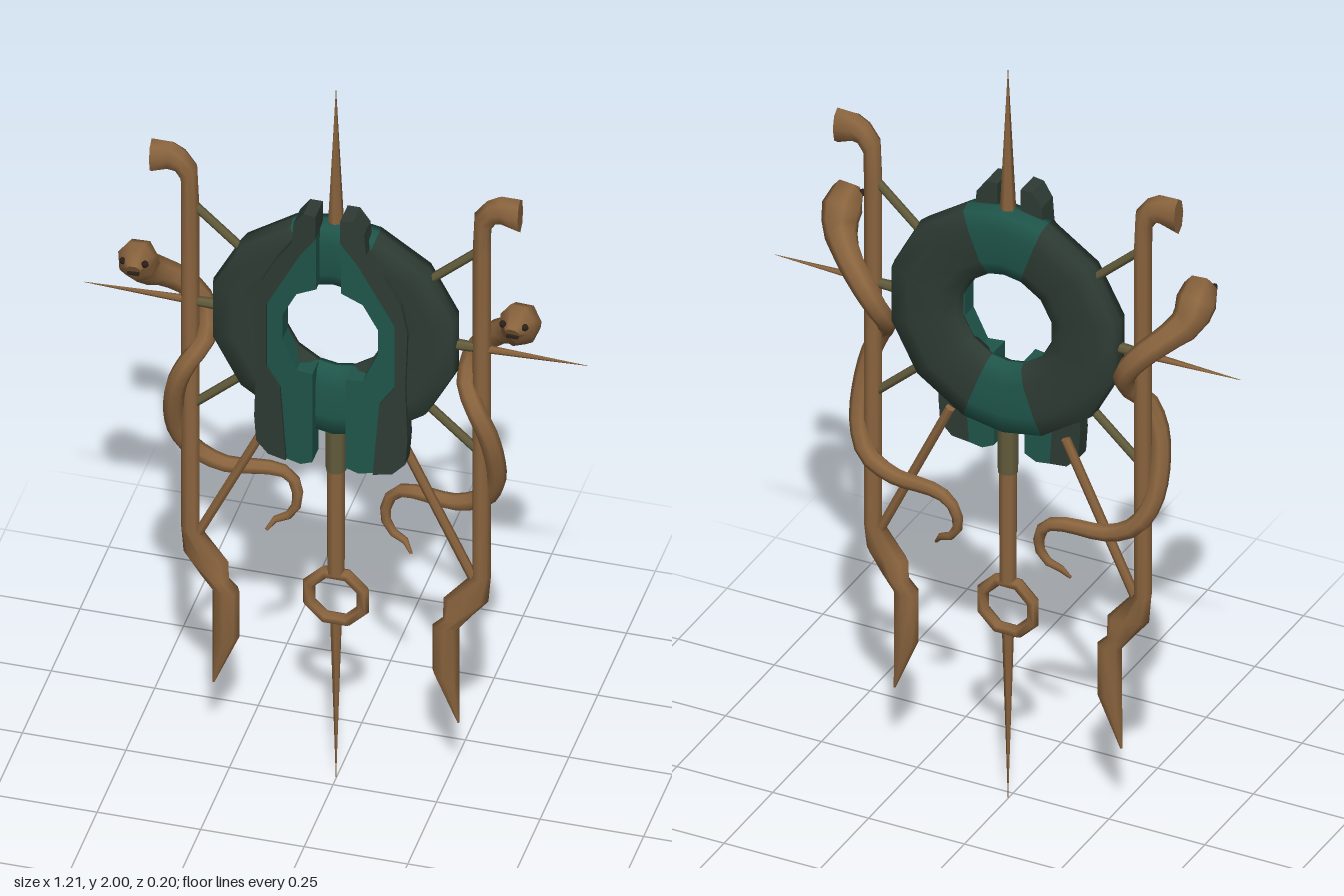
import * as THREE from 'three';

const Z = -0.026; // middle plane of the frame
const CY = 1.32; // centre height of the ring
const V = (x, y, z = Z) => new THREE.Vector3(x, y, z);

// Skin a list of cross-section rings and cap both ends
function loft(rings) {
  const n = rings[0].length, pos = [], idx = [];
  rings.forEach(r => r.forEach(p => pos.push(p.x, p.y, p.z)));
  for (let i = 0; i < rings.length - 1; i++) {
    for (let j = 0; j < n; j++) {
      const a = i * n + j, b = i * n + (j + 1) % n;
      idx.push(a, b, b + n, a, b + n, a + n);
    }
  }
  [rings[0], rings[rings.length - 1]].forEach((r, end) => {
    const base = pos.length / 3;
    r.forEach(p => pos.push(p.x, p.y, p.z));
    for (let j = 1; j < n - 1; j++) {
      idx.push(base, base + (end ? j : j + 1), base + (end ? j + 1 : j));
    }
  });
  const g = new THREE.BufferGeometry();
  g.setAttribute('position', new THREE.Float32BufferAttribute(pos, 3));
  g.setIndex(idx);
  g.computeVertexNormals();
  return g;
}

// Ring of points round a centre, spanned by two half axes
function section(c, u, v, n) {
  return Array.from({ length: n }, (_, j) => {
    const t = (j / n) * Math.PI * 2;
    return c.clone().addScaledVector(u, Math.cos(t)).addScaledVector(v, Math.sin(t));
  });
}

// Straight tapered rod between two points
function rod(a, b, r0, r1, sides = 6) {
  const d = b.clone().sub(a);
  const g = new THREE.CylinderGeometry(r1, r0, d.length(), sides);
  g.applyQuaternion(new THREE.Quaternion().setFromUnitVectors(V(0, 1, 0), d.normalize()));
  const m = a.clone().add(b).multiplyScalar(0.5);
  return g.translate(m.x, m.y, m.z);
}

// Mirror across x and restore the face order
function mirrored(geo) {
  const g = geo.index ? geo.toNonIndexed() : geo.clone();
  g.scale(-1, 1, 1);
  for (const name of ['position', 'normal']) {
    const a = g.attributes[name].array;
    for (let i = 0; i < a.length; i += 9) {
      for (let k = 0; k < 3; k++) [a[i + 3 + k], a[i + 6 + k]] = [a[i + 6 + k], a[i + 3 + k]];
    }
  }
  return g;
}

// Sloped plate, thickest towards the middle of the model
function plate(outline, lower) {
  const s = new THREE.Shape(outline.map(p => new THREE.Vector2(p[0], p[1])));
  const g = new THREE.ExtrudeGeometry(s, { depth: 1, bevelEnabled: false });
  const p = g.attributes.position;
  for (let i = 0; i < p.count; i++) {
    p.setZ(i, p.getZ(i) > 0.5 ? 0.046 - lower - 0.17 * (p.getX(i) - 0.03) : -0.02);
  }
  g.computeVertexNormals();
  return g;
}

export function createModel() {
  const group = new THREE.Group();
  const mat = (name, color) => Object.assign(new THREE.MeshStandardMaterial({ color }), { name });
  const bronze = mat('bronze', 0x8a643e);
  const olive = mat('olive', 0x635c3c);
  const dark = mat('darkGreen', 0x2d3b33);
  const teal = mat('teal', 0x1f554a);
  const black = mat('eyeDark', 0x2a2018);

  const add = (name, geo, m) => {
    const mesh = new THREE.Mesh(geo, m);
    mesh.name = name;
    group.add(mesh);
  };
  const pair = (name, geo, m) => {
    add(name + 'Left', geo, m);
    add(name + 'Right', mirrored(geo), m);
  };

  // Thick ring: dark sides, teal top and bottom
  const profile = [[0.12, 0], [0.128, -0.02], [0.165, -0.034], [0.25, -0.037], [0.298, -0.03], [0.305, 0],
    [0.298, 0.03], [0.25, 0.037], [0.165, 0.034], [0.128, 0.02], [0.12, 0]].map(p => new THREE.Vector2(...p));
  const arc = (from, to, segs) => new THREE.LatheGeometry(profile, segs,
    THREE.MathUtils.degToRad(from), THREE.MathUtils.degToRad(to - from))
    .rotateX(Math.PI / 2).translate(0, CY, Z);
  add('ringBottom', arc(-20, 20, 2), teal);
  add('ringTop', arc(160, 200, 2), teal);
  add('ringSideLeft', arc(20, 160, 5), dark);
  add('ringSideRight', arc(200, 340, 5), dark);

  // Crescent plates on the ring: dark outside, teal inside
  const seam = [[0.105, 0.945], [0.12, 1.15], [0.155, 1.2], [0.155, 1.38], [0.11, 1.47], [0.07, 1.55], [0.03, 1.61]];
  const outer = [[0.03, 1.675], [0.06, 1.675], [0.085, 1.64], [0.09, 1.58], [0.13, 1.52], [0.17, 1.44],
    [0.185, 1.36], [0.18, 1.2], [0.185, 1.05], [0.18, 0.98], [0.15, 0.95]];
  const inner = [[0.03, 1.46], [0.08, 1.43], [0.115, 1.36], [0.115, 1.29], [0.08, 1.21], [0.04, 1.21],
    [0.04, 0.955], [0.07, 0.94]];
  pair('crescentOuter', plate([...seam, ...outer].reverse(), 0), dark);
  pair('crescentInner', plate([...seam, ...inner], 0.008), teal);

  // Side rails with hooked top and blade foot: inner x, y, outer x, y, half depth
  const rail = [
    [0.445, 1.77, 0.445, 1.675, 0.024], [0.395, 1.768, 0.405, 1.69, 0.024], [0.365, 1.75, 0.387, 1.69, 0.024],
    [0.335, 1.71, 0.375, 1.67, 0.023], [0.33, 1.6, 0.374, 1.6, 0.023], [0.33, 0.66, 0.374, 0.66, 0.023],
    [0.26, 0.577, 0.368, 0.587, 0.024], [0.258, 0.52, 0.33, 0.54, 0.025], [0.233, 0.495, 0.298, 0.497, 0.026],
    [0.233, 0.365, 0.298, 0.345, 0.024], [0.293, 0.222, 0.298, 0.222, 0.003],
  ].map(([ix, iy, ox, oy, d]) => section(V((ix + ox) / 2, (iy + oy) / 2),
    V((ox - ix) / 2, (oy - iy) / 2, 0), V(0, 0, d), 8));
  pair('rail', loft(rail), bronze);

  // Thin struts tying the rails to the ring
  pair('upperStrut', rod(V(0.2, 1.47), V(0.35, 1.605), 0.011, 0.011), olive);
  pair('middleStrut', rod(V(0.2, 1.15), V(0.35, 1.015), 0.011, 0.011), olive);
  pair('lowerStrut', rod(V(0.15, 1.03), V(0.345, 0.62), 0.012, 0.012), bronze);
  pair('sideStub', rod(V(0.28, CY), V(0.36, CY), 0.014, 0.011), olive);
  pair('sideSpike', rod(V(0.34, CY), V(0.607, CY), 0.011, 0.0005), bronze);

  // Central spikes, post and eyelet
  add('topSpike', rod(V(0, 1.58), V(0, 2), 0.021, 0.0005), bronze);
  add('postCollar', rod(V(0, 0.9), V(0, 1.04), 0.025, 0.026, 8), olive);
  add('post', rod(V(0, 0.6), V(0, 0.91), 0.021, 0.022, 8), bronze);
  add('eyelet', new THREE.TorusGeometry(0.07, 0.016, 6, 8).rotateZ(Math.PI / 8).translate(0, 0.53, Z), bronze);
  add('bottomSpike', rod(V(0, 0.46), V(0, 0), 0.014, 0.0005), bronze);

  // Serpents winding round the rails, tail to head: x, y, z, radius
  const path = [
    [0.175, 0.67, -0.05, 0.004], [0.165, 0.69, -0.06, 0.008], [0.12, 0.715, -0.07, 0.011],
    [0.105, 0.76, -0.075, 0.013], [0.125, 0.815, -0.082, 0.015], [0.17, 0.83, -0.078, 0.018],
    [0.28, 0.83, -0.065, 0.021], [0.35, 0.865, -0.058, 0.024], [0.383, 0.93, -0.035, 0.024],
    [0.388, 1.01, -0.01, 0.025], [0.375, 1.1, 0.01, 0.025], [0.345, 1.17, 0.01, 0.024],
    [0.315, 1.215, -0.025, 0.024], [0.325, 1.28, -0.065, 0.027], [0.37, 1.34, -0.06, 0.031],
    [0.42, 1.385, -0.03, 0.033], [0.455, 1.42, 0.008, 0.043], [0.462, 1.462, 0.035, 0.05],
    [0.46, 1.482, 0.062, 0.042], [0.458, 1.468, 0.09, 0.018],
  ];
  const curve = new THREE.CatmullRomCurve3(path.map(p => V(p[0], p[1], p[2])));
  const N = 36, frames = curve.computeFrenetFrames(N);
  const rings = [];
  for (let i = 0; i <= N; i++) {
    const t = curve.getUtoTmapping(i / N) * (path.length - 1);
    const k = Math.min(Math.floor(t), path.length - 2);
    const r = THREE.MathUtils.lerp(path[k][3], path[k + 1][3], t - k);
    rings.push(section(curve.getPointAt(i / N), frames.normals[i].clone().multiplyScalar(r),
      frames.binormals[i].clone().multiplyScalar(r), 7));
  }
  pair('serpent', loft(rings), bronze);

  // Eyes and mouth of the serpents
  for (const x of [0.432, 0.485]) {
    pair('serpentEye', new THREE.SphereGeometry(0.009, 6, 5).translate(x, 1.482, 0.079), black);
  }
  pair('serpentMouth', new THREE.BoxGeometry(0.028, 0.007, 0.008).translate(0.458, 1.458, 0.089), black);

  return group;
}
